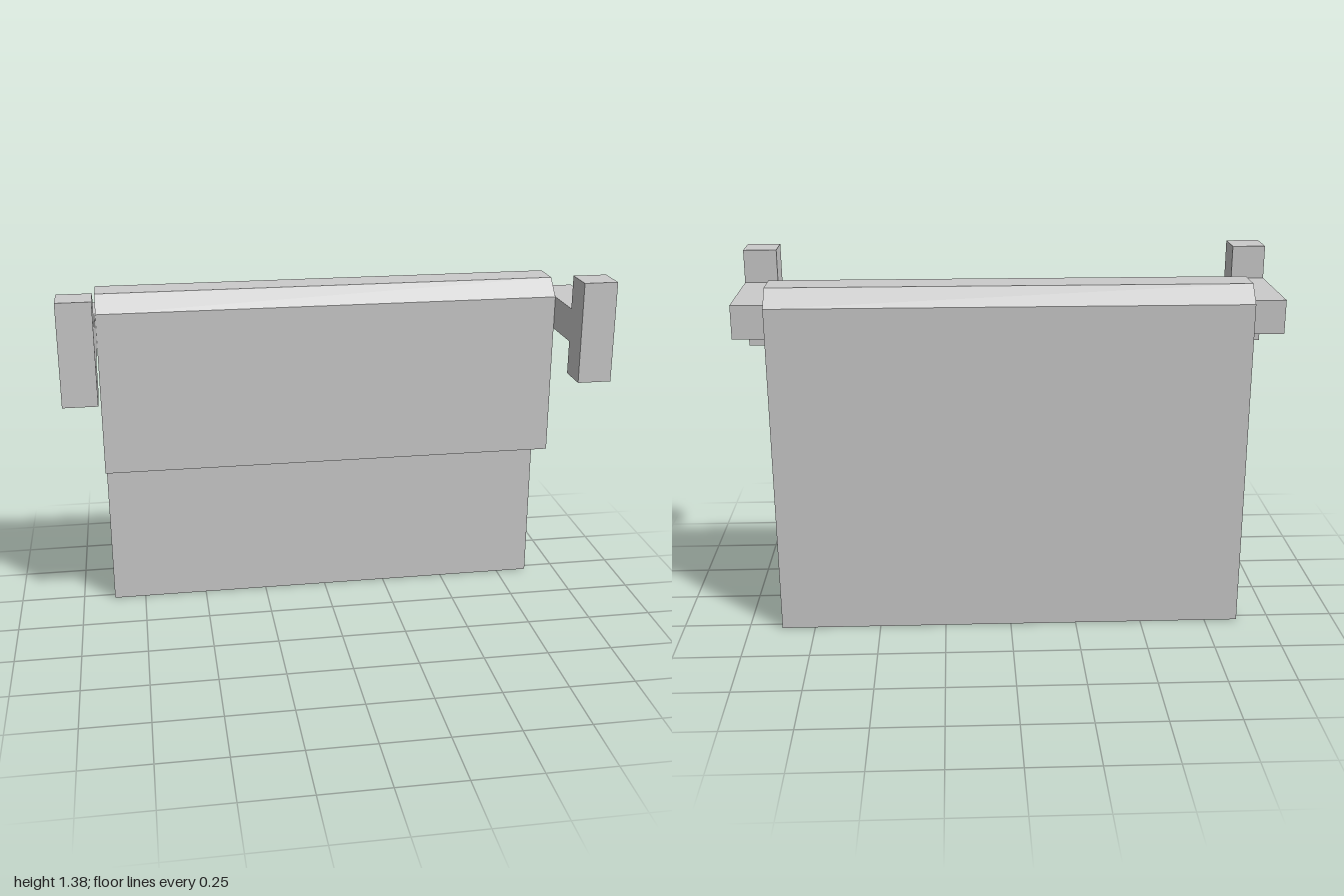
import * as THREE from 'three';

const U = 1 / 16; // all parts sit on a 1/16 unit lattice
const material = new THREE.MeshStandardMaterial({ color: 0xcccccc, flatShading: true });

// Extrudes a [z, y] outline (in lattice units) between two x positions
function extrudeAlongX(name, points, x0, x1) {
  const shape = new THREE.Shape(points.map(([z, y]) => new THREE.Vector2(-z * U, y * U)));
  const geometry = new THREE.ExtrudeGeometry(shape, { depth: (x1 - x0) * U, bevelEnabled: false });
  geometry.rotateY(Math.PI / 2).translate(x0 * U, 0, 0);
  const mesh = new THREE.Mesh(geometry, material);
  mesh.name = name;
  return mesh;
}

export function createModel() {
  const model = new THREE.Group();
  model.name = 'hangingCloth';

  // Cloth folded over the bar: short front flap, chamfered top, long back panel
  model.add(extrudeAlongX('cloth', [
    [-4.5, 0], [-3.5, 0], [-3.5, 20], [-1.5, 20], [-1.5, 10], [-0.5, 10],
    [-0.5, 20], [-1.5, 21], [-3.5, 21], [-4.5, 20],
  ], -14, 14));

  // Square bar inside the fold
  model.add(extrudeAlongX('crossBar', [[-3.5, 18], [-1.5, 18], [-1.5, 20], [-3.5, 20]], -14, 14));

  // T-shaped end brackets: arm plus upright mounting plate
  const bracket = [
    [-3.5, 18], [2.5, 18], [2.5, 16], [4.5, 16],
    [4.5, 22], [2.5, 22], [2.5, 20], [-3.5, 20],
  ];
  model.add(extrudeAlongX('rightBracket', bracket, -16, -14));
  model.add(extrudeAlongX('leftBracket', bracket, 14, 16));

  return model;
}
